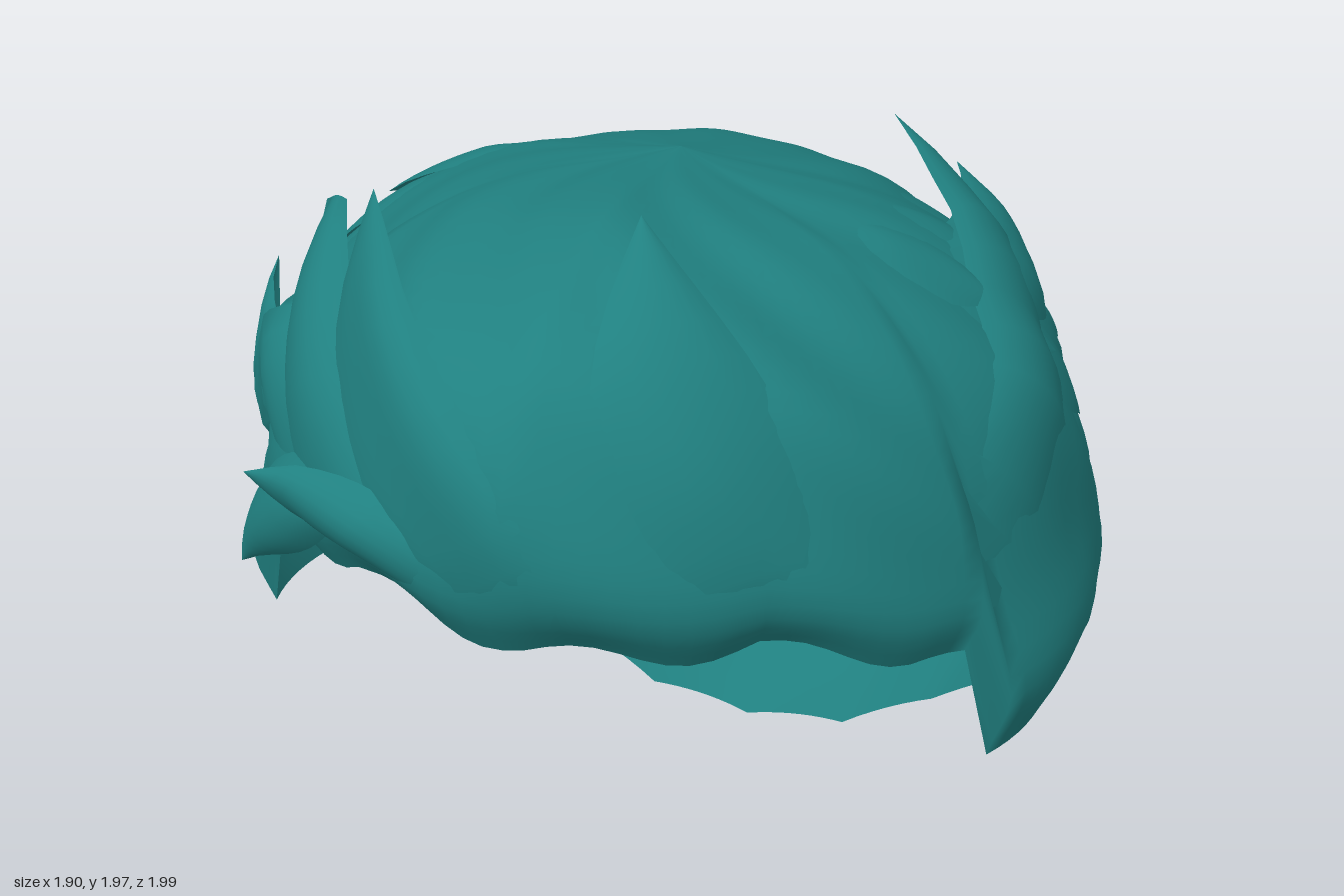
import * as THREE from 'three';

const hair = new THREE.MeshStandardMaterial({ color: 0x208080, side: THREE.DoubleSide });

// Crown-to-rim profile: shoulder, upper and widest points, then the rim
function profile(deg, shoulderY, upperR, upperY, wideR, wideY, rimR, rimY) {
  const bulge = (wideR + rimR) / 2 + 0.15 * (wideY - rimY);
  const points = [
    new THREE.Vector3(0, 1.86, 0),
    new THREE.Vector3(0.5, shoulderY, 0),
    new THREE.Vector3(upperR, upperY, 0),
    new THREE.Vector3(wideR, wideY, 0),
    new THREE.Vector3(bulge, (wideY + rimY) / 2, 0),
    new THREE.Vector3(rimR, rimY, 0),
  ];
  return { deg, curve: new THREE.CatmullRomCurve3(points) };
}

// Profiles by angle from the front; the rim drops at the sideburn
const profiles = [
  profile(0, 1.89, 0.86, 1.76, 0.98, 1.45, 0.9, 1.18),
  profile(30, 1.84, 0.79, 1.69, 0.92, 1.4, 0.86, 1.19),
  profile(60, 1.78, 0.78, 1.57, 0.91, 1.26, 0.89, 1.06),
  profile(63, 1.77, 0.78, 1.52, 0.92, 1.12, 0.93, 0.79),
  profile(90, 1.74, 0.78, 1.49, 0.9, 1.1, 0.87, 0.68),
  profile(105, 1.72, 0.8, 1.44, 0.92, 1.04, 0.86, 0.59),
  profile(120, 1.69, 0.82, 1.38, 0.93, 0.97, 0.83, 0.38),
  profile(135, 1.68, 0.83, 1.34, 0.94, 0.9, 0.71, 0.19),
  profile(153, 1.67, 0.85, 1.31, 0.95, 0.88, 0.58, 0.04),
  profile(180, 1.67, 0.85, 1.32, 0.96, 0.92, 0.52, 0),
];

// Point on the hair surface: a = degrees from the front, t = crown to rim
function surface(a, t, lift = 0) {
  const side = ((a + 540) % 360) - 180, d = Math.abs(side);
  let k = 0;
  while (k < profiles.length - 2 && d > profiles[k + 1].deg) k++;
  const p = profiles[k], q = profiles[k + 1];
  const at = THREE.MathUtils.clamp(t, 0, 1);
  const v = p.curve.getPointAt(at).lerp(q.curve.getPointAt(at), (d - p.deg) / (q.deg - p.deg));
  const rad = THREE.MathUtils.degToRad(side);
  // combed ripples swirling out from the crown
  const ripple = 0.012 * Math.sin(rad * 7 - at * 15) + 0.008 * Math.sin(rad * 13 - at * 22);
  const out = 1 + lift + ripple * Math.sin(Math.PI * at ** 1.5);
  let y = 1 + (v.y - 1) * out;
  if (d < 57) y += 0.025 * Math.sin(rad * 13) * at ** 8; // uneven fringe
  return new THREE.Vector3(v.x * out * Math.sin(rad), y, v.x * out * Math.cos(rad));
}

// Smooth skin over rows of points, optionally closed around
function skin(rows, closed) {
  const n = rows[0].length, index = [];
  for (let i = 0; i < rows.length - 1; i++) {
    for (let j = 0; j < (closed ? n : n - 1); j++) {
      const a = i * n + j, c = i * n + (j + 1) % n;
      index.push(a, a + n, c, c, a + n, c + n);
    }
  }
  const geo = new THREE.BufferGeometry().setFromPoints(rows.flat());
  geo.setIndex(index);
  geo.computeVertexNormals();
  return geo;
}

function addMesh(group, name, geo) {
  const mesh = new THREE.Mesh(geo, hair);
  mesh.name = name;
  group.add(mesh);
}

// Curved sheet hugging the surface from (a0, t0) to (a1, t1), its end pulled to a free tip
function lock(a0, t0, a1, t1, width, tip, thick = 0.04) {
  const pull = tip.clone().sub(surface(a1, t1, -0.012));
  const perDeg = 0.013, perT = 1.7; // rough surface lengths
  const run = (a1 - a0) * perDeg, fall = (t1 - t0) * perT, length = Math.hypot(run, fall);
  const rows = [];
  for (let i = 0; i <= 12; i++) {
    const u = i / 12, row = [];
    const half = width * (0.7 + 0.6 * u) * (1 - u ** 2.5);
    for (let s = -1; s <= 1; s += 0.25) {
      const dome = (1 - s * s) * Math.min(1, u * 2.5) * (1 - u ** 3);
      const a = a0 + (a1 - a0) * u + s * half * fall / length / perDeg;
      const t = t0 + (t1 - t0) * u - s * half * run / length / perT;
      row.push(surface(a, t, -0.012 + thick * dome)
        .addScaledVector(pull, u * u * (1 - s * s * (1 - u))));
    }
    rows.push(row);
  }
  return skin(rows, false);
}

export function createModel() {
  const group = new THREE.Group();
  group.name = 'hair';

  // Open shell
  const rows = [];
  for (let i = 0; i <= 36; i++) {
    const row = [];
    for (let j = 0; j < 120; j++) row.push(surface(j * 3, i / 36));
    rows.push(row);
  }
  addMesh(group, 'hairShell', skin(rows, true));

  // Swept-up locks of the fringe and crown, fullest on the right
  const V = (x, y, z) => new THREE.Vector3(x, y, z);
  const sweptLocks = [
    lock(6, 0.92, -40, 0.5, 0.2, V(-0.46, 1.91, 0.5)),
    lock(32, 0.92, 12, 0.42, 0.2, V(0.12, 1.97, 0.55)),
    lock(-10, 0.9, -36, 0.8, 0.14, V(-0.61, 1.43, 0.85)),
    lock(-20, 0.88, -62, 0.5, 0.18, V(-0.66, 1.78, 0.33)),
    lock(-32, 0.82, -80, 0.6, 0.16, V(-0.91, 1.51, 0.12)),
    lock(-28, 0.8, -50, 0.95, 0.14, V(-0.77, 1.05, 0.64)),
    lock(-45, 0.68, -78, 0.66, 0.15, V(-0.92, 1.36, 0.18)),
    lock(-58, 0.55, -86, 0.8, 0.15, V(-0.94, 0.92, 0.06)),
    lock(55, 0.75, 125, 0.3, 0.2, V(0.36, 1.84, -0.36)),
    lock(85, 0.4, 142, 0.42, 0.18, V(0.45, 1.64, -0.6)),
    lock(210, 0.4, 181, 0.62, 0.17, V(-0.03, 0.96, -1)),
  ];
  for (const geo of sweptLocks) addMesh(group, 'sweptLock', geo);

  // Staggered rings of broad locks over the sides and back
  for (let ring = 0; ring < 4; ring++) {
    for (let i = 0; i < 8; i++) {
      const a = 70 + i * 25 + ring * 9, t = 0.22 + ring * 0.1;
      const tip = surface(a + 22, t + 0.2, 0.025);
      addMesh(group, 'layeredLock', lock(a, t, a + 22, t + 0.2, 0.15, tip, 0.02));
    }
  }

  return group;
}
